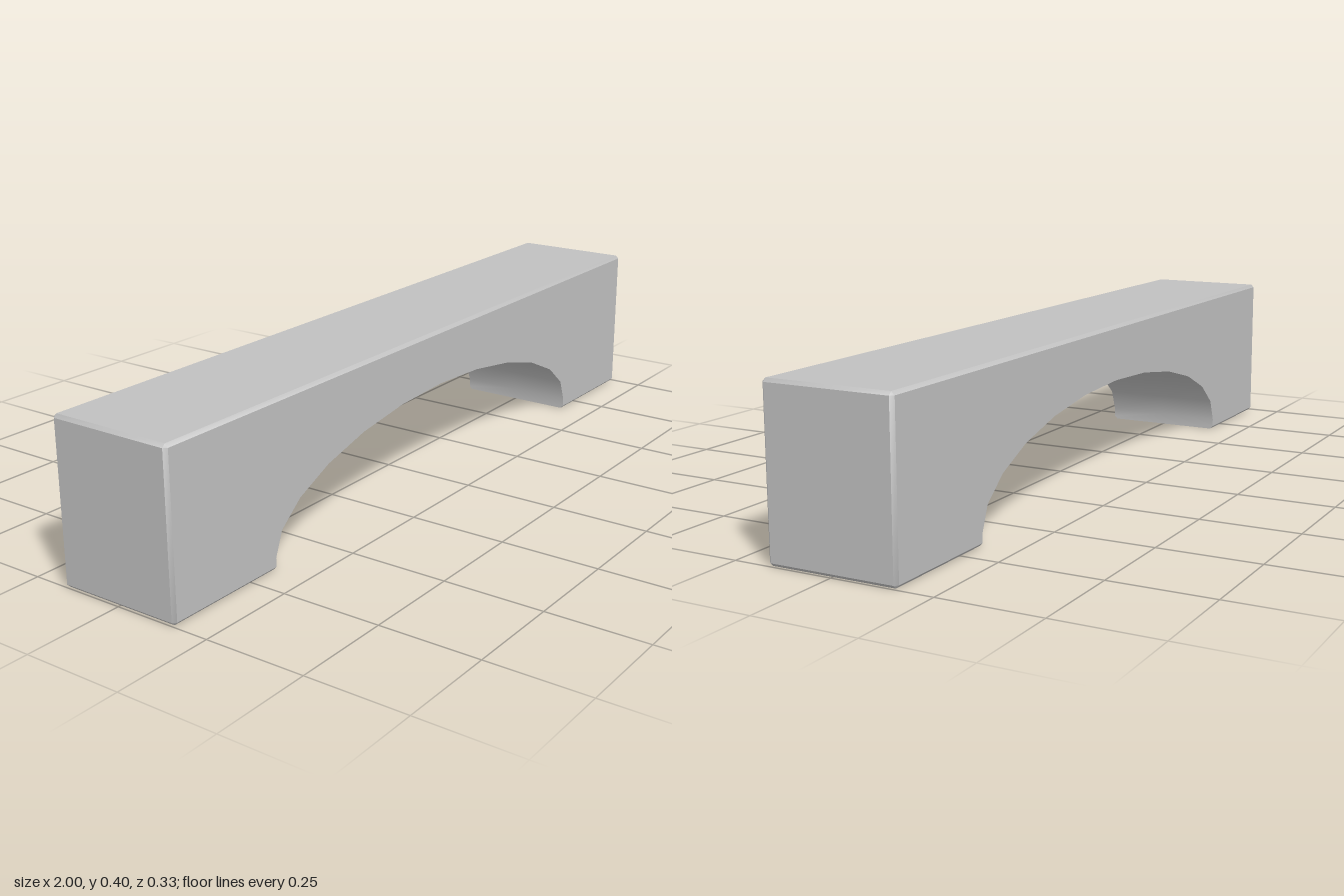
import * as THREE from 'three';
import { toCreasedNormals } from 'three/addons/utils/BufferGeometryUtils.js';

const X = 1, H = 0.402, Z = 0.163, c = 0.008; // half length, height, half depth, chamfer
const A = 0.67, SPRING = 0.03, RISE = 0.23;   // arch half width, springing height, rise
const STEPS = 6;                              // arch segments per half

export function createModel() {
  const group = new THREE.Group();
  group.name = 'archBlock';
  const stone = new THREE.MeshStandardMaterial({ color: 0xc0c0c0 });
  stone.name = 'light grey';

  const positions = [];
  // Adds a convex polygon, mirrored into all four quarters of the block
  const face = (...points) => {
    for (const sx of [1, -1]) for (const sz of [1, -1]) {
      const p = points.map(([x, y, z]) => [x * sx, y, z * sz]);
      if (sx * sz < 0) p.reverse();
      for (let i = 1; i < p.length - 1; i++) positions.push(...p[0], ...p[i], ...p[i + 1]);
    }
  };
  const x = X - c, z = Z - c, t = H - c;

  // Top, ends and feet
  face([0, H, 0], [0, H, z], [x, H, z], [x, H, 0]);
  face([X, c, 0], [X, t, 0], [X, t, z], [X, c, z]);
  face([A, 0, 0], [x, 0, 0], [x, 0, z], [A, 0, z]);

  // Chamfers along the outer edges
  face([0, H, z], [0, t, Z], [x, t, Z], [x, H, z]);
  face([A, 0, z], [x, 0, z], [x, c, Z], [A, c, Z]);
  face([x, c, Z], [X, c, z], [X, t, z], [x, t, Z]);
  face([x, H, 0], [x, H, z], [X, t, z], [X, t, 0]);
  face([x, 0, 0], [X, c, 0], [X, c, z], [x, 0, z]);

  // Chamfered corners
  face([x, H, z], [x, t, Z], [X, t, z]);
  face([x, 0, z], [X, c, z], [x, c, Z]);

  // Front and back of the piers, and the straight jambs of the arch
  face([A, c, Z], [x, c, Z], [x, t, Z], [A, t, Z]);
  face([A, 0, 0], [A, 0, z], [A, c, Z], [A, SPRING, Z], [A, SPRING, 0]);

  // Elliptical arch: wall above it and its underside
  const arch = (i) => {
    const angle = (i / STEPS) * Math.PI / 2;
    return [i === STEPS ? 0 : A * Math.cos(angle), SPRING + RISE * Math.sin(angle)];
  };
  for (let i = 0; i < STEPS; i++) {
    const [x0, y0] = arch(i), [x1, y1] = arch(i + 1);
    face([x1, y1, Z], [x0, y0, Z], [x0, t, Z], [x1, t, Z]);
    face([x0, y0, 0], [x0, y0, Z], [x1, y1, Z], [x1, y1, 0]);
  }

  const raw = new THREE.BufferGeometry();
  raw.setAttribute('position', new THREE.Float32BufferAttribute(positions, 3));
  // Smooth under the arch, sharp at the chamfers
  const mesh = new THREE.Mesh(toCreasedNormals(raw, 0.7), stone);
  mesh.name = 'archedBlock';
  group.add(mesh);
  return group;
}
